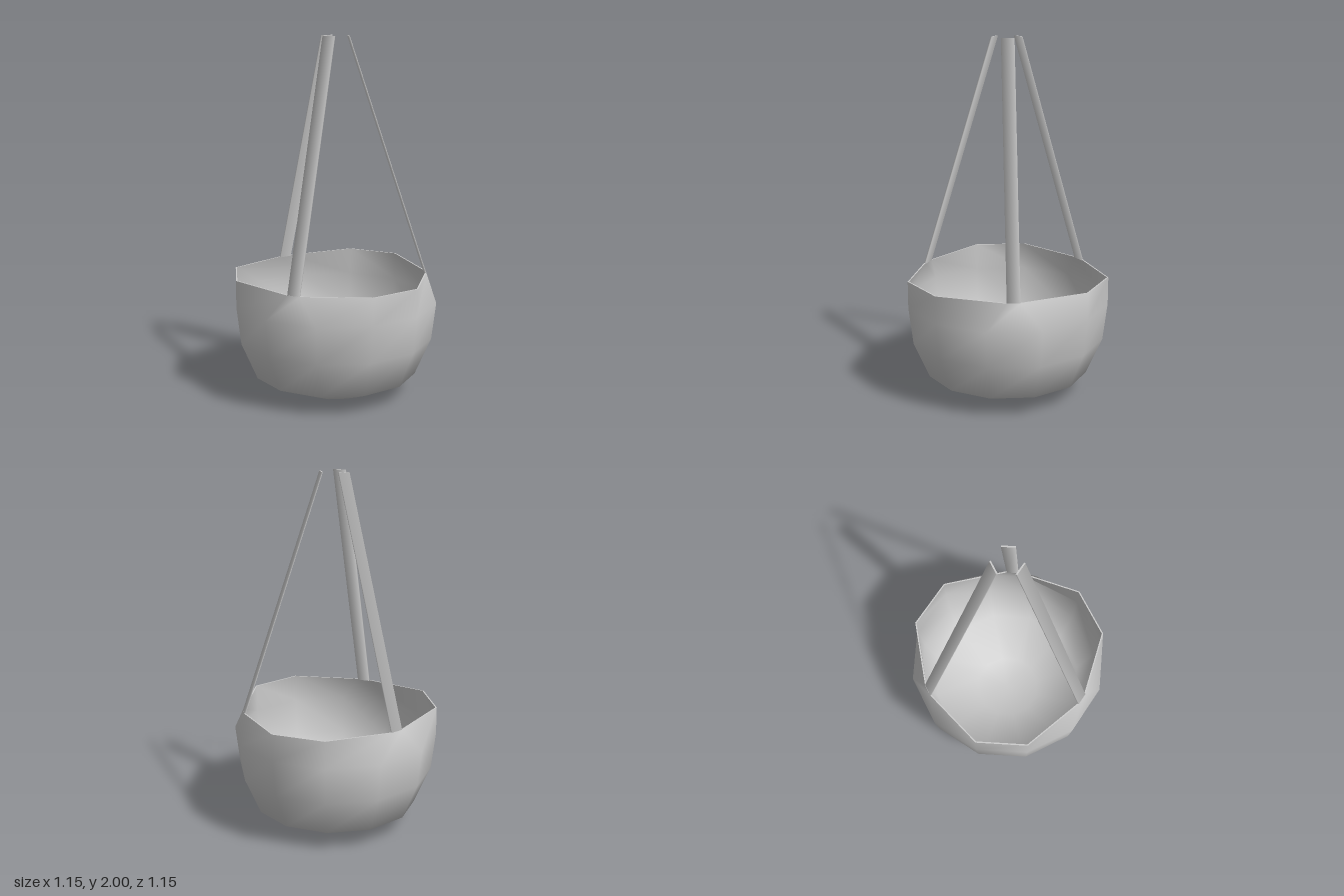
import * as THREE from 'three';

const SIDES = 12;
const WALL = 0.008;
const STEP = (Math.PI * 2) / SIDES;
const material = new THREE.MeshStandardMaterial({ color: 0xcccccc, side: THREE.DoubleSide });

// One ring of the bowl; a negative angle turns towards +z
function ring(radius, y) {
  return Array.from({ length: SIDES }, (_, k) =>
    new THREE.Vector3(radius * Math.cos(k * STEP), y, -radius * Math.sin(k * STEP)));
}

// The rim: two of every four corners are pinched together to meet a strap
function rimRing(inset) {
  return ring(0.575 - inset, 0.685).map((p, k) => {
    if (k % 4 > 1) return p;
    const angle = (k - (k % 4) + 0.5) * STEP + (k % 4 ? 1 : -1) * 0.071;
    const r = 0.518 - inset;
    return new THREE.Vector3(r * Math.cos(angle), 0.675, -r * Math.sin(angle));
  });
}

// Smooth surface joining rings of equal size
function loft(rings, flip = false) {
  const positions = rings.flat().flatMap((p) => p.toArray());
  const index = [];
  for (let j = 0; j < rings.length - 1; j++) {
    for (let k = 0; k < SIDES; k++) {
      const n = (k + 1) % SIDES;
      const a = j * SIDES + k, b = j * SIDES + n;
      const c = a + SIDES, d = b + SIDES;
      if (flip) index.push(a, d, b, a, c, d);
      else index.push(a, b, d, a, d, c);
    }
  }
  const geometry = new THREE.BufferGeometry();
  geometry.setAttribute('position', new THREE.Float32BufferAttribute(positions, 3));
  geometry.setIndex(index);
  geometry.computeVertexNormals();
  return geometry;
}

function addMesh(parent, name, geometry) {
  const mesh = new THREE.Mesh(geometry, material);
  mesh.name = name;
  parent.add(mesh);
  return mesh;
}

// Thin flat strap leaning inwards from the rim
function strapGeometry() {
  const bottom = 0.67, top = 2;
  const geometry = new THREE.CylinderGeometry(Math.SQRT1_2, Math.SQRT1_2, 1, 4, 1, false, Math.PI / 4);
  const pos = geometry.attributes.position;
  for (let i = 0; i < pos.count; i++) {
    const t = pos.getY(i) + 0.5;
    const lean = THREE.MathUtils.lerp(0.514, 0.074, t);
    pos.setXYZ(i, lean + pos.getX(i) * WALL, THREE.MathUtils.lerp(bottom, top, t), pos.getZ(i) * 0.072);
  }
  return geometry;
}

export function createModel() {
  const model = new THREE.Group();
  model.name = 'hangingBowl';

  // Bowl: outer wall, inner wall and the narrow lip between them
  const profile = [[0, 0], [0.2, 0], [0.46, 0.11], [0.55, 0.32], [0.575, 0.53]];
  const bowl = new THREE.Group();
  bowl.name = 'bowl';
  model.add(bowl);
  const outer = [...profile.map(([r, y]) => ring(r, y)), rimRing(0)];
  const inner = [...profile.map(([r, y]) => ring(Math.max(r - WALL, 0), y + (y < 0.2 ? WALL : 0))), rimRing(WALL)];
  addMesh(bowl, 'outerWall', loft(outer));
  addMesh(bowl, 'innerWall', loft(inner, true));
  addMesh(bowl, 'lip', loft([rimRing(0), rimRing(WALL)]));

  // Three straps, one over each pinched part of the rim
  const strap = strapGeometry();
  for (let i = 0; i < 3; i++) {
    addMesh(model, 'strap', strap).rotation.y = STEP / 2 + (i * Math.PI * 2) / 3;
  }
  return model;
}
